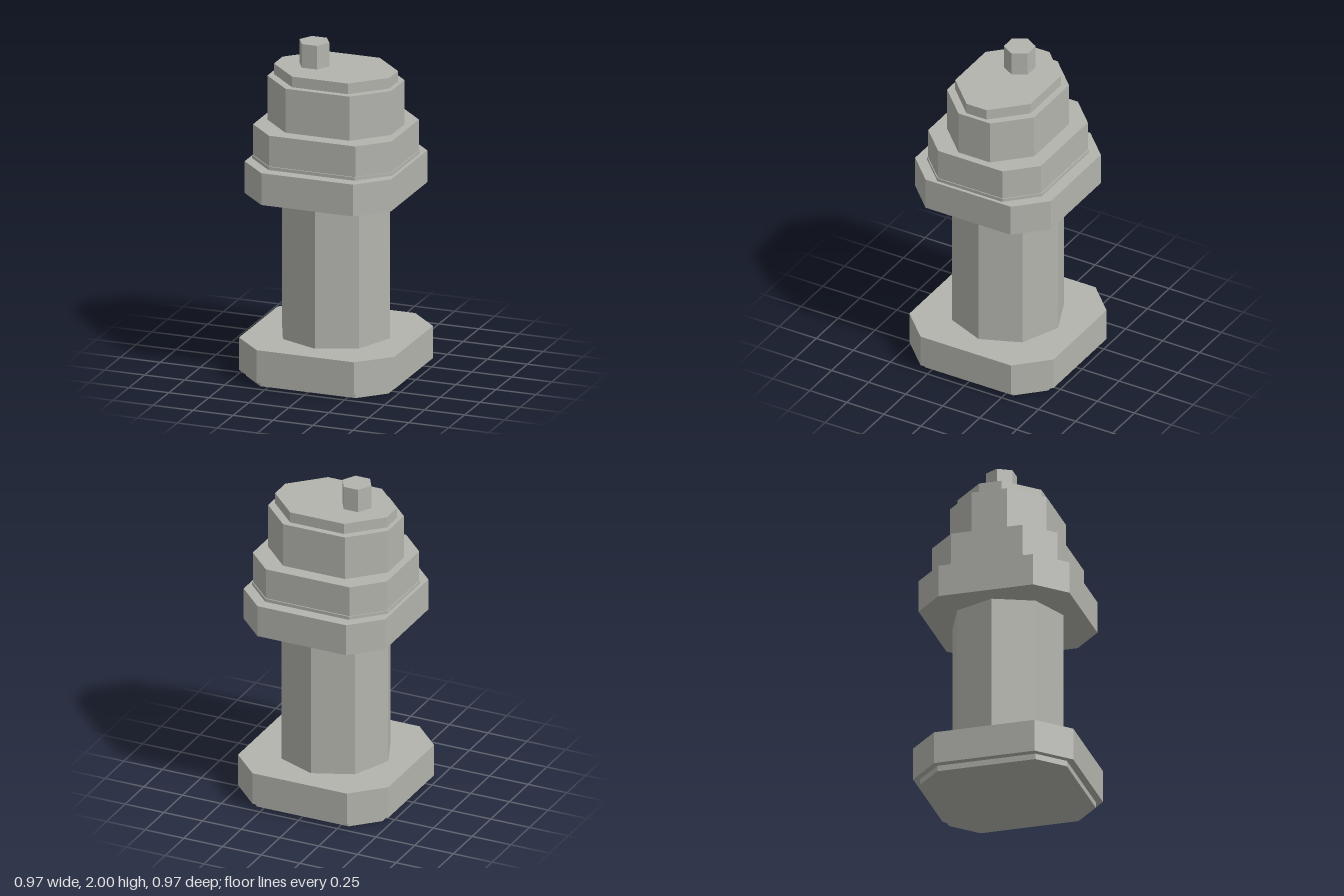
import * as THREE from 'three';

const grey = new THREE.MeshStandardMaterial({ color: 0xb4b4ae });
grey.name = 'hydrantGrey';
grey.flatShading = true;

// Rectangular slab with cut corners: half sizes (hx, hz), flat-side half lengths (ix, iz)
function cutSlab(name, y0, y1, hx, hz, ix, iz) {
  const outline = [
    [hx, -iz], [hx, iz], [ix, hz], [-ix, hz],
    [-hx, iz], [-hx, -iz], [-ix, -hz], [ix, -hz],
  ].map(([x, z]) => new THREE.Vector2(x, z));
  const geometry = new THREE.ExtrudeGeometry(new THREE.Shape(outline), {
    depth: y1 - y0, bevelEnabled: false,
  });
  geometry.rotateX(-Math.PI / 2);
  geometry.translate(0, y0, 0);
  const mesh = new THREE.Mesh(geometry, grey);
  mesh.name = name;
  return mesh;
}

// Upright prism with its first corner towards the front
function prism(name, y0, y1, radius, sides, x = 0, turn = 0) {
  const geometry = new THREE.CylinderGeometry(radius, radius, y1 - y0, sides);
  geometry.rotateY(turn);
  geometry.translate(x, (y0 + y1) / 2, 0);
  const mesh = new THREE.Mesh(geometry, grey);
  mesh.name = name;
  return mesh;
}

export function createModel() {
  const model = new THREE.Group();
  model.name = 'steppedPost';
  model.add(
    // Base
    cutSlab('foot', 0, 0.035, 0.445, 0.445, 0.297, 0.297),
    cutSlab('base', 0.035, 0.233, 0.486, 0.486, 0.305, 0.305),
    // Eight-sided column
    prism('column', 0.233, 1.117, 0.337, 8),
    // Stepped head
    cutSlab('flange', 1.117, 1.312, 0.458, 0.458, 0.287, 0.287),
    cutSlab('headSeat', 1.312, 1.332, 0.438, 0.387, 0.27, 0.219),
    cutSlab('lowerHead', 1.332, 1.52, 0.433, 0.38, 0.27, 0.217),
    cutSlab('upperHead', 1.52, 1.79, 0.387, 0.294, 0.2, 0.107),
    cutSlab('cap', 1.79, 1.855, 0.361, 0.254, 0.174, 0.068),
    // Off-centre hexagonal stud
    prism('stud', 1.855, 2, 0.093, 6, -0.135, Math.PI / 2),
  );
  return model;
}
